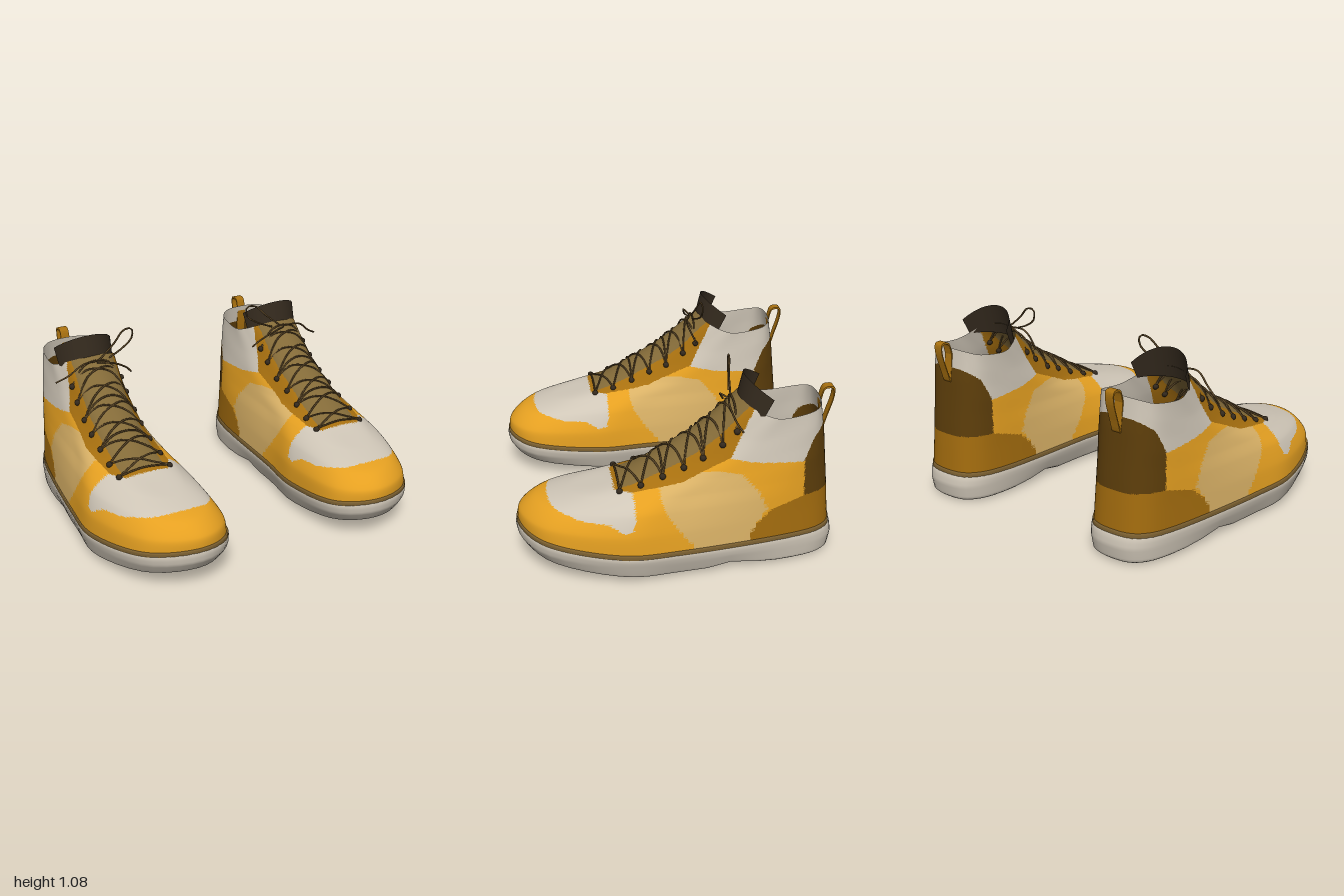
import * as THREE from 'three';
import { mergeGeometries } from 'three/addons/utils/BufferGeometryUtils.js';

const paint = (name, color, side = THREE.FrontSide) => {
  const m = new THREE.MeshStandardMaterial({ color, side });
  m.name = name;
  return m;
};

// Linear lookup in a list of [key, value] pairs with rising keys
function lookup(table, k) {
  if (k <= table[0][0]) return table[0][1];
  for (let i = 1; i < table.length; i++) {
    const [k0, v0] = table[i - 1], [k1, v1] = table[i];
    if (k <= k1) return v0 + (v1 - v0) * (k - k0) / (k1 - k0);
  }
  return table[table.length - 1][1];
}

// Curved centre line of the foot
const centre = z => lookup([[-0.89, 0.625], [-0.4, 0.635], [0, 0.655], [0.32, 0.65], [0.7, 0.61], [0.89, 0.577]], z);

// One foot-shaped ring: back and front z, heights at back, middle and front,
// then half widths at heel, waist, ball and toe
function ring([zB, zF, yB, yM, yF, heel, waist, ball, toe], cols) {
  const stations = [[0, 0], [0.03, heel * 0.66], [0.16, heel], [0.5, waist], [0.7, ball], [0.92, toe], [1, 0]];
  const at = ([s, w], side) => {
    const z = zB + (zF - zB) * s, u = 2 * s - 1;
    return new THREE.Vector3(centre(z) + side * w, yM + ((u < 0 ? yB : yF) - yM) * u * u, z);
  };
  const pts = [...stations.map(p => at(p, 1)), ...stations.slice(1, -1).reverse().map(p => at(p, -1))];
  const curve = new THREE.CatmullRomCurve3(pts, true, 'catmullrom', 0.5);
  return Array.from({ length: cols }, (_, i) => curve.getPoint(i / cols));
}

// Skin through rings (bend 0 is straight between them);
// pick(x, y, z) gives the material index of a triangle
function loft(keys, cols, rows, bend, pick = () => 0) {
  const rings = keys.map(k => ring(k, cols));
  const pos = new Float32Array((rows + 1) * cols * 3);
  for (let c = 0; c < cols; c++) {
    const curve = new THREE.CatmullRomCurve3(rings.map(r => r[c]), false, 'catmullrom', bend);
    for (let r = 0; r <= rows; r++) curve.getPoint(r / rows).toArray(pos, (r * cols + c) * 3);
  }
  const buckets = [];
  const add = (...tri) => {
    const mid = [0, 1, 2].map(k => tri.reduce((s, i) => s + pos[i * 3 + k], 0) / 3);
    (buckets[pick(...mid)] ??= []).push(...tri);
  };
  for (let r = 0; r < rows; r++) for (let c = 0; c < cols; c++) {
    const a = r * cols + c, b = r * cols + (c + 1) % cols, d = a + cols, e = b + cols;
    add(a, d, b);
    add(b, d, e);
  }
  const g = new THREE.BufferGeometry();
  g.setAttribute('position', new THREE.BufferAttribute(pos, 3));
  g.setIndex(buckets.flat());
  let start = 0;
  buckets.forEach((list, m) => { g.addGroup(start, list.length, m); start += list.length; });
  g.computeVertexNormals();
  return g;
}

// Panel layout of the upper
const ORANGE = 0, TAN = 1, PALE = 2, HEEL = 3, COUNTER = 4, STAY = 5, TONGUE = 6;
function panel(x, y, z) {
  const d = Math.abs(x - centre(z));
  const stayEdge = lookup([[-0.41, 0.94], [-0.27, 0.66], [0, 0.54], [0.2, 0.475], [0.36, 0.45]], z);
  const stayWidth = lookup([[-0.3, 0.21], [0.1, 0.195], [0.28, 0.18], [0.36, 0.13]], z);
  if (z > -0.41 && z < 0.36 && y > stayEdge && d < stayWidth) return d < 0.13 && z < 0.33 ? TONGUE : STAY;
  if (z > 0.265 && y > lookup([[0.265, 0.38], [0.28, 0.325], [0.33, 0.312], [0.41, 0.36], [0.53, 0.365], [0.7, 0.4], [0.75, 0.43]], z)) return PALE;
  if (y > 0.405 && y < 0.81 && z < lookup([[0.4, -0.68], [0.62, -0.675], [0.74, -0.73], [0.81, -0.81]], y)) return COUNTER;
  if (z < -0.36 && y < lookup([[-0.68, 0.405], [-0.49, 0.35], [-0.4, 0.27], [-0.36, 0.19]], z)) return HEEL;
  if (z < -0.22 && y > lookup([[-0.68, 0.61], [-0.42, 0.625], [-0.265, 0.655]], z)) return PALE;
  const front = lookup([[0.19, -0.055], [0.295, 0.03], [0.4, 0.1], [0.475, 0.125]], y);
  const back = lookup([[0.19, -0.36], [0.27, -0.4], [0.36, -0.465], [0.46, -0.42], [0.57, -0.325], [0.59, -0.2]], y);
  return y < 0.59 && z < front && z > back ? TAN : ORANGE;
}

function mirrored(mesh) {
  mesh.updateMatrix();
  const g = mesh.geometry.clone().applyMatrix4(mesh.matrix).scale(-1, 1, 1);
  if (!g.index) g.setIndex([...Array(g.attributes.position.count).keys()]);
  const ix = g.index.array;
  for (let i = 0; i < ix.length; i += 3) [ix[i + 1], ix[i + 2]] = [ix[i + 2], ix[i + 1]];
  const m = new THREE.Mesh(g, mesh.material);
  m.name = mesh.name;
  return m;
}

export function createModel() {
  const two = THREE.DoubleSide;
  const pale = paint('pale grey', 0xcfc6b7, two), stay = paint('dark ochre', 0xa8700f, two);
  const brown = paint('stripe brown', 0x7a5f30), dark = paint('near black brown', 0x33291d, two);
  const lace = paint('lace brown', 0x5a4526);
  const skins = [paint('orange', 0xe5a021, two), paint('tan', 0xd9b166, two), pale,
    paint('heel ochre', 0xa36c0e, two), paint('counter brown', 0x5c3d0a, two), stay, paint('tongue olive', 0x836a38, two)];
  const shoe = new THREE.Group();
  const add = (name, geometry, material) => {
    const m = new THREE.Mesh(geometry, material);
    m.name = name;
    shoe.add(m);
    return m;
  };

  // Upper, from the sole edge to the collar
  const upper = loft([
    [-0.868, 0.882, 0.165, 0.16, 0.235, 0.245, 0.308, 0.338, 0.25],
    [-0.856, 0.873, 0.33, 0.29, 0.315, 0.24, 0.295, 0.328, 0.238],
    [-0.846, 0.79, 0.45, 0.4, 0.388, 0.235, 0.268, 0.288, 0.198],
    [-0.836, 0.61, 0.55, 0.48, 0.438, 0.227, 0.238, 0.235, 0.15],
    [-0.826, 0.355, 0.65, 0.56, 0.495, 0.218, 0.22, 0.19, 0.125],
    [-0.817, 0.12, 0.74, 0.65, 0.62, 0.205, 0.21, 0.172, 0.108],
    [-0.803, -0.11, 0.83, 0.75, 0.76, 0.194, 0.2, 0.172, 0.108],
    [-0.79, -0.34, 0.914, 0.867, 0.95, 0.178, 0.195, 0.183, 0.128],
  ], 216, 119, 0.4, panel);
  add('upper', upper, skins);

  // Sole with raised arch and closed footbed
  const sole = loft([
    [-0.6, 0.5, 0.002, 0.008, 0.03, 0, 0, 0, 0],
    [-0.845, 0.76, 0.003, 0.008, 0.075, 0.21, 0.235, 0.265, 0.185],
    [-0.876, 0.845, 0.025, 0.028, 0.115, 0.24, 0.275, 0.312, 0.225],
    [-0.889, 0.886, 0.1, 0.1, 0.175, 0.249, 0.303, 0.335, 0.25],
    [-0.874, 0.888, 0.165, 0.158, 0.238, 0.249, 0.313, 0.343, 0.255],
    [-0.6, 0.5, 0.17, 0.165, 0.21, 0, 0, 0, 0],
  ], 56, 20, 0.1);
  const sp = sole.attributes.position;
  for (let i = 0; i < sp.count; i++) {
    const y = sp.getY(i), lift = 0.034 * Math.exp(-(((sp.getZ(i) + 0.29) / 0.1) ** 2));
    sp.setY(i, Math.max(0, y + lift * Math.max(0, 1 - y / 0.12)));
  }
  sole.computeVertexNormals();
  add('sole', sole, pale);

  // Welt stripe
  add('weltStripe', loft([
    [-0.875, 0.889, 0.16, 0.154, 0.234, 0.25, 0.314, 0.344, 0.256],
    [-0.873, 0.888, 0.187, 0.18, 0.256, 0.249, 0.313, 0.343, 0.256],
    [-0.85, 0.86, 0.188, 0.181, 0.257, 0.23, 0.29, 0.32, 0.23],
  ], 112, 4, 0), brown);

  // Tongue tip standing above the collar
  const tip = new THREE.PlaneGeometry(2, 1, 20, 4), tp = tip.attributes.position;
  for (let i = 0; i < tp.count; i++) {
    const a = tp.getX(i) * 1.25, v = tp.getY(i) + 0.5;
    tp.setXYZ(i, 0.643 + (0.18 + 0.01 * v) * Math.sin(a), 0.88 + v * (0.055 + 0.132 * Math.cos(a)),
      -0.51 + 0.19 * Math.cos(a) - 0.045 * v);
  }
  tip.computeVertexNormals();
  add('tongueTip', tip, dark);

  // Nearest point of the upper below a given x, z
  const up = upper.attributes.position;
  const onUpper = (x, z) => {
    let best = 0, least = Infinity;
    for (let i = 0; i < up.count; i++) {
      const d = (up.getX(i) - x) ** 2 + (up.getZ(i) - z) ** 2;
      if (d < least) { least = d; best = i; }
    }
    return new THREE.Vector3().fromBufferAttribute(up, best);
  };

  // Eyelets
  const rows = [0.335, 0.22, 0.1, -0.01, -0.12, -0.225, -0.305];
  const eyes = rows.map(z => [-1, 1].map(s => onUpper(centre(z) + s * 0.155, z)));
  add('eyelets', mergeGeometries(eyes.flat().map(p =>
    new THREE.SphereGeometry(0.018, 10, 8).translate(p.x, p.y + 0.002, p.z))), dark);

  // Criss-cross lacing with a bow loop and a loose end
  const tube = pts => new THREE.TubeGeometry(new THREE.CatmullRomCurve3(pts), 20, 0.0055, 6);
  const strand = (a, b) => tube([0, 0.25, 0.5, 0.75, 1].map(t => {
    const p = a.clone().lerp(b, t), s = onUpper(p.x, p.z);
    return p.setY(Math.max(p.y, s.y) + 0.008);
  }));
  const strands = [];
  eyes.forEach(([l, r], i) => {
    if (i % 2 === 0) strands.push(strand(l, r));
    if (i < eyes.length - 1) strands.push(strand(l, eyes[i + 1][1]), strand(r, eyes[i + 1][0]));
  });
  const v = list => list.map(p => new THREE.Vector3(...p));
  strands.push(
    tube(v([[0.62, 0.93, -0.3], [0.52, 1.01, -0.31], [0.45, 1.075, -0.325], [0.395, 1.075, -0.33],
      [0.395, 1.02, -0.33], [0.46, 0.97, -0.32], [0.56, 0.93, -0.3]])),
    tube(v([[0.64, 0.93, -0.29], [0.74, 0.93, -0.27], [0.82, 0.87, -0.29], [0.89, 0.83, -0.32]])),
    tube(v([[0.64, 0.92, -0.29], [0.55, 0.91, -0.26], [0.46, 0.86, -0.28], [0.42, 0.82, -0.3]])));
  add('laces', mergeGeometries(strands), lace);

  // Heel pull loop
  const loop = [[-0.795, 0.88], [-0.815, 0.945], [-0.85, 0.957], [-0.876, 0.945], [-0.874, 0.89], [-0.845, 0.8], [-0.815, 0.73]];
  const outline = k => new THREE.SplineCurve([...loop, loop[0]]
    .map(([z, y]) => new THREE.Vector2(-0.838 + (z + 0.838) * k, 0.885 + (y - 0.885) * (k + 0.06)))).getPoints(36);
  const band = new THREE.Shape(outline(1));
  band.holes.push(new THREE.Path(outline(0.84)));
  const pull = add('pullLoop', new THREE.ExtrudeGeometry(band, { depth: 0.055, bevelEnabled: false }), stay);
  pull.rotation.y = -Math.PI / 2;
  pull.position.x = 0.655;

  shoe.name = 'leftShoe';
  const other = new THREE.Group();
  other.name = 'rightShoe';
  shoe.children.forEach(m => other.add(mirrored(m)));
  const model = new THREE.Group();
  model.name = 'bootPair';
  model.add(shoe, other);
  return model;
}
